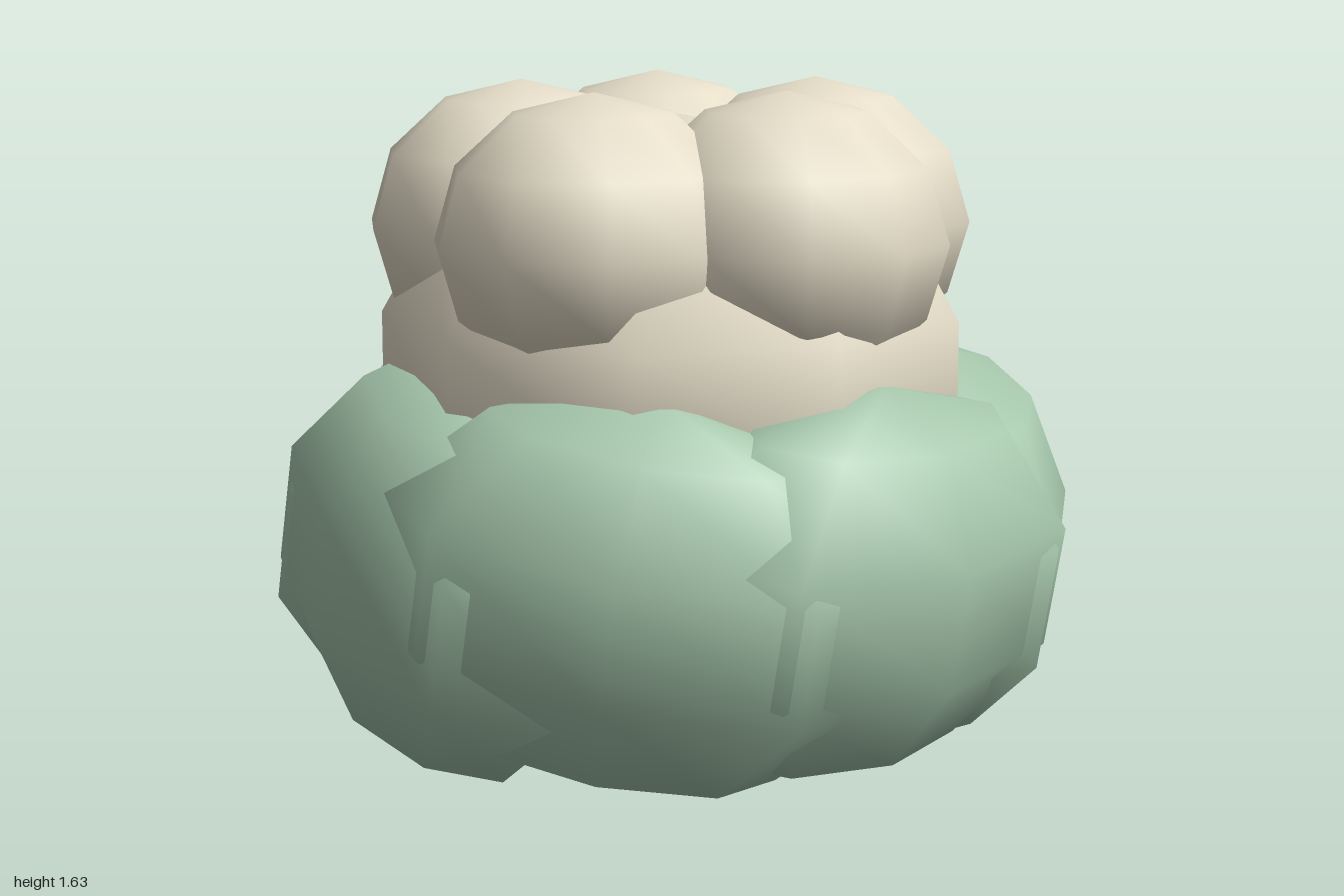
import * as THREE from 'three';

export function createModel() {
  const group = new THREE.Group();
  const cream = new THREE.MeshStandardMaterial({ color: 0xe6dec9 });
  cream.name = 'cream';
  const green = new THREE.MeshStandardMaterial({ color: 0xa7c8ad });
  green.name = 'sageGreen';

  const add = (name, geometry, material, x, y, z) => {
    const mesh = new THREE.Mesh(geometry, material);
    mesh.name = name;
    mesh.position.set(x, y, z);
    group.add(mesh);
    return mesh;
  };

  // rounded core holding the florets and leaves
  const core = add('core', new THREE.SphereGeometry(1, 9, 7), cream, 0.01, 0.93, 0.015);
  core.scale.set(0.745, 0.63, 0.745);
  core.rotation.y = Math.PI / 2;

  // ring of five round florets on top
  const floretGeometry = new THREE.SphereGeometry(1, 10, 6);
  for (let i = 0; i < 5; i++) {
    const a = (i / 5) * Math.PI * 2;
    const floret = add('floret', floretGeometry, cream, 0.01 + 0.39 * Math.cos(a), 1.278, 0.01 + 0.39 * Math.sin(a));
    floret.scale.set(0.395, 0.36, 0.395);
  }

  // ring of seven overlapping thick leaves, each turned outwards, then all leaning towards +x
  const leafGeometry = new THREE.SphereGeometry(1, 8, 5);
  for (let i = 0; i < 7; i++) {
    const a = (i / 7) * Math.PI * 2;
    const leaf = add('leaf', leafGeometry, green, 0.63 * Math.cos(a), 0.486, 0.63 * Math.sin(a));
    leaf.scale.set(0.37, 0.49, 0.67);
    leaf.rotation.set(0, -a, -0.2, 'ZYX');
  }
  return group;
}
